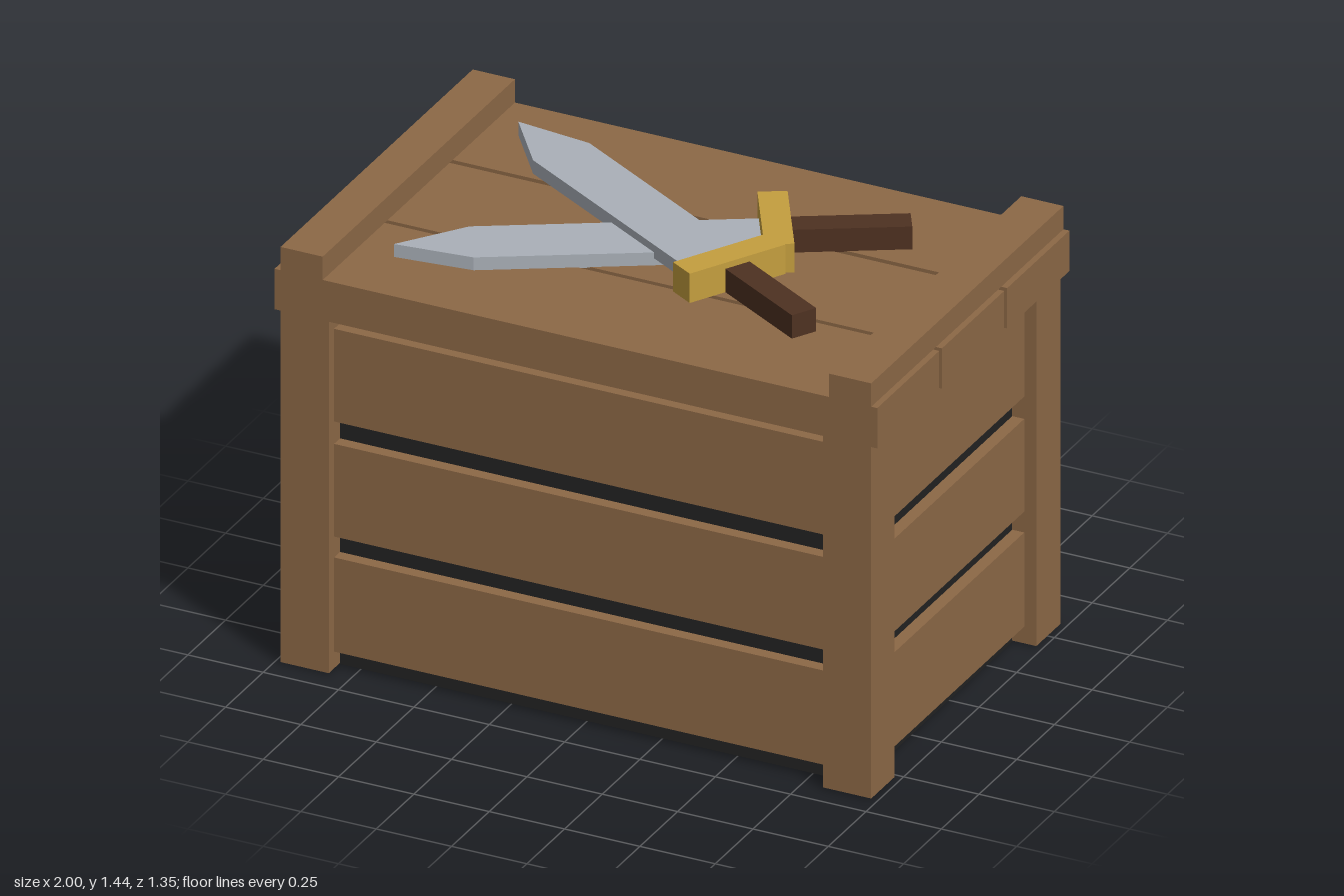
import * as THREE from 'three';

const paint = (name, color) => {
  const m = new THREE.MeshStandardMaterial({ color });
  m.name = name;
  return m;
};

export function createModel() {
  const wood = paint('wood', 0x8c6846);
  const dark = paint('dark interior', 0x222222);
  const steel = paint('steel', 0xaab0b8);
  const gold = paint('gold', 0xc49e3e);
  const grip = paint('dark wood', 0x4e3121);
  const tan = paint('light wood', 0xc8995a);
  const blue = paint('blue', 0x345c94);

  const model = new THREE.Group();
  model.name = 'crate';

  // Box given by its minimum and maximum corners
  const box = (name, mat, [x0, y0, z0], [x1, y1, z1], parent = model) => {
    const mesh = new THREE.Mesh(new THREE.BoxGeometry(x1 - x0, y1 - y0, z1 - z0), mat);
    mesh.position.set((x0 + x1) / 2, (y0 + y1) / 2, (z0 + z1) / 2);
    mesh.name = name;
    parent.add(mesh);
    return mesh;
  };

  // Dark core seen between the planks
  box('interior', dark, [-0.9, 0, -0.5], [0.9, 1.178, 0.6]);

  // Corner posts
  for (const [x0, x1] of [[-0.98, -0.82], [0.82, 0.98]])
    for (const [z0, z1] of [[-0.58, -0.42], [0.52, 0.675]])
      box('cornerPost', wood, [x0, 0.004, z0], [x1, 1.18, z1]);

  // Three rows of planks on all four sides
  for (const [y0, y1] of [[0.06, 0.375], [0.445, 0.755], [0.83, 1.14]]) {
    box('frontPlank', wood, [-0.83, y0, 0.59], [0.83, y1, 0.64]);
    box('backPlank', wood, [-0.83, y0, -0.545], [0.83, y1, -0.49]);
    box('leftPlank', wood, [0.89, y0, -0.43], [0.94, y1, 0.53]);
    box('rightPlank', wood, [-0.94, y0, -0.43], [-0.89, y1, 0.53]);
  }

  // Lid boards and the two cleats across them
  for (const [z0, z1] of [[-0.6, -0.187], [-0.167, 0.246], [0.264, 0.675]])
    box('lidBoard', wood, [-1, 1.18, z0], [1, 1.315, z1]);
  for (const [x0, x1] of [[-0.98, -0.84], [0.84, 0.98]])
    box('lidCleat', wood, [x0, 1.315, -0.6], [x1, 1.393, 0.675]);

  // Sword built along x with the guard at the origin and the tip at -x
  const sword = (name, y, z, angle) => {
    const g = new THREE.Group();
    g.name = name;
    const outline = new THREE.Shape([[0, -0.1], [0, 0.1], [-0.905, 0.1], [-1.136, 0], [-0.905, -0.1]]
      .map(([a, b]) => new THREE.Vector2(a, b)));
    const bladeGeo = new THREE.ExtrudeGeometry(outline, { depth: 0.045, bevelEnabled: false });
    bladeGeo.rotateX(-Math.PI / 2);
    const blade = new THREE.Mesh(bladeGeo, steel);
    blade.name = 'blade';
    g.add(blade);
    box('guard', gold, [-0.045, 0, -0.17], [0.045, 0.098, 0.17], g);
    box('handle', grip, [0.04, 0, -0.043], [0.403, 0.078, 0.043], g);
    g.position.set(0.266, y, z);
    g.rotation.y = angle;
    model.add(g);
  };
  sword('upperSword', 1.338, 0.19, -Math.PI / 6);
  sword('lowerSword', 1.313, -0.12, Math.PI / 6);

  // Diagonal board on the back
  const strap = box('diagonalBoard', wood, [-0.86, 0.5535, -0.6], [0.86, 0.7015, -0.54]);
  strap.rotation.z = -29 * Math.PI / 180;

  // Eight-sided shield with flat edges up, down and sideways
  const octagon = (name, mat, apothem, z0, z1) => {
    const r = apothem / Math.cos(Math.PI / 8);
    const geo = new THREE.CylinderGeometry(r, r, z1 - z0, 8).toNonIndexed();
    geo.rotateY(Math.PI / 8);
    geo.rotateX(Math.PI / 2);
    geo.computeVertexNormals();
    const mesh = new THREE.Mesh(geo, mat);
    mesh.position.set(0, 0.65, (z0 + z1) / 2);
    mesh.name = name;
    model.add(mesh);
  };
  octagon('shieldRim', tan, 0.342, -0.643, -0.592);
  octagon('shieldFace', blue, 0.297, -0.677, -0.63);

  return model;
}
